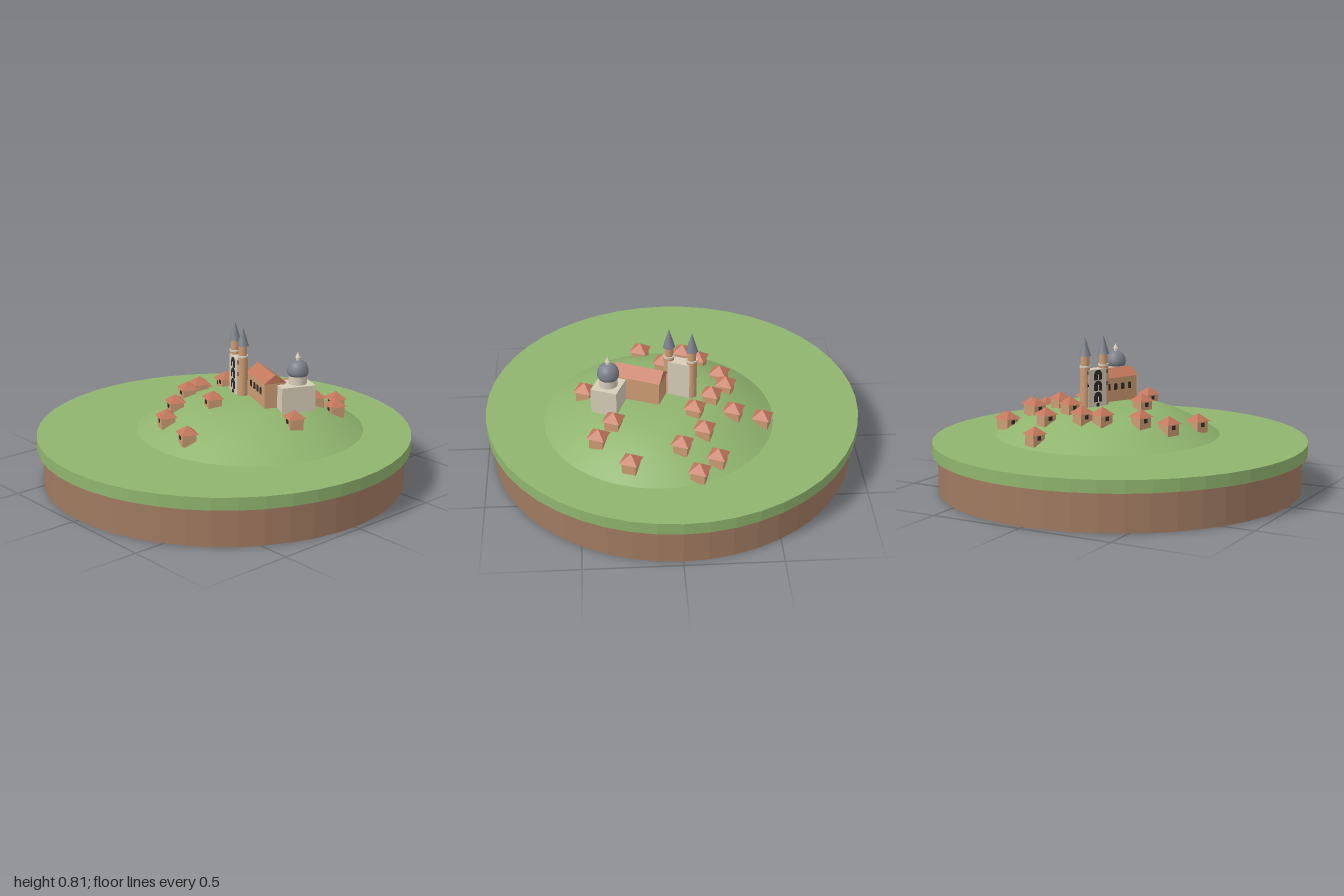
import * as THREE from 'three';

const mat = (name, color) => Object.assign(new THREE.MeshStandardMaterial({ color }), { name });

// Hill cross-section: radius, height
const HILL = [[0.613, 0.262], [0.54, 0.306], [0.47, 0.345], [0.38, 0.388], [0.29, 0.418], [0.2, 0.429], [0.1, 0.431], [0.001, 0.432]];
const HILL_X = 0.078, HILL_Z = -0.117, TURN = -0.39;

function hillHeight(x, z) {
  const r = Math.hypot(x - HILL_X, z - HILL_Z);
  for (let i = 1; i < HILL.length; i++) {
    const [r0, y0] = HILL[i - 1], [r1, y1] = HILL[i];
    if (r >= r1) return y0 + (y1 - y0) * Math.min(1, Math.max(0, (r0 - r) / (r0 - r1)));
  }
  return 0.432;
}

// Split shared vertices so every face is flat
function flat(geo) {
  const g = geo.toNonIndexed();
  g.computeVertexNormals();
  return g;
}

function add(parent, name, geo, material, x = 0, y = 0, z = 0) {
  const m = new THREE.Mesh(geo, material);
  m.name = name;
  m.position.set(x, y, z);
  parent.add(m);
  return m;
}

function group(parent, name, x, z, y = 0, turn = TURN) {
  const g = new THREE.Group();
  g.name = name;
  g.position.set(x, y, z);
  g.rotation.y = turn;
  parent.add(g);
  return g;
}

// Thin round-headed opening, standing on its base line
function archGeo(w, h) {
  const s = new THREE.Shape();
  s.moveTo(-w / 2, 0);
  s.lineTo(w / 2, 0);
  s.lineTo(w / 2, h - w / 2);
  s.absarc(0, h - w / 2, w / 2, 0, Math.PI, false);
  s.closePath();
  return new THREE.ExtrudeGeometry(s, { depth: 0.005, bevelEnabled: false, curveSegments: 8 });
}

export function createModel() {
  const root = new THREE.Group();
  root.name = 'hillTown';
  const grass = mat('grass', 0x8fb46e);
  const earth = mat('earth', 0xa07a60);
  const wall = mat('tanWall', 0xcc9c72);
  const tile = mat('roofTile', 0xc2775c);
  const stone = mat('paleStone', 0xd6ccb8);
  const slate = mat('slate', 0x7c808a);
  const dark = mat('darkOpening', 0x2f2b2a);

  // Round base and hill
  add(root, 'earthBase', flat(new THREE.CylinderGeometry(0.97, 0.97, 0.2, 48)), earth, 0, 0.1, 0);
  add(root, 'grassDisc', flat(new THREE.CylinderGeometry(1, 1, 0.065, 48)), grass, 0, 0.2325, 0);
  add(root, 'hill', new THREE.LatheGeometry(HILL.map(([r, y]) => new THREE.Vector2(r, y)), 48), grass, HILL_X, 0, HILL_Z);

  // Houses
  const bodyGeo = new THREE.BoxGeometry(0.074, 0.066, 0.074);
  const roofGeo = flat(new THREE.ConeGeometry(0.067, 0.04, 4).rotateY(Math.PI / 4));
  const houseWindow = new THREE.BoxGeometry(0.02, 0.022, 0.006);
  const spots = [
    [-0.1, -0.663], [-0.2, -0.577], [-0.02, -0.535], [-0.14, -0.44], [0.24, -0.61], [0.4, -0.44],
    [0.32, -0.365], [-0.1, -0.31], [-0.305, -0.275], [-0.46, -0.247], [-0.195, -0.193], [-0.28, -0.07],
    [-0.257, 0.037], [0.465, -0.07], [0.04, 0.112], [-0.155, 0.208], [-0.08, 0.332], [0.155, 0.387]];
  for (const [x, z] of spots) {
    const house = group(root, 'house', x, z, hillHeight(x, z));
    add(house, 'houseWalls', bodyGeo, wall, 0, 0.013, 0);
    add(house, 'houseRoof', roofGeo, tile, 0, 0.062, 0);
    add(house, 'houseWindow', houseWindow, dark, 0, 0.024, 0.038);
  }

  // Nave with gable roof and side windows
  const nave = group(root, 'nave', 0.176, -0.144);
  add(nave, 'naveWalls', new THREE.BoxGeometry(0.25, 0.155, 0.115), wall, 0, 0.4875, 0);
  const gable = new THREE.Shape([[-0.063, 0], [0.063, 0], [0, 0.046]].map(([x, y]) => new THREE.Vector2(x, y)));
  const gableGeo = new THREE.ExtrudeGeometry(gable, { depth: 0.262, bevelEnabled: false });
  gableGeo.translate(0, 0, -0.131).rotateY(Math.PI / 2);
  add(nave, 'naveRoof', gableGeo, tile, 0, 0.562, 0);
  for (let i = 0; i < 4; i++) {
    add(nave, 'naveWindow', archGeo(0.02, 0.036), dark, (i - 1.5) * 0.048, 0.495, 0.0565);
  }

  // Front wall with stacked arches between twin towers
  const front = group(root, 'westFront', -0.035, -0.138);
  add(front, 'facade', new THREE.BoxGeometry(0.12, 0.215, 0.062), stone, 0, 0.5225, 0);
  for (const y of [0.455, 0.515, 0.573]) {
    add(front, 'facadeArch', archGeo(0.05, 0.054), dark, 0, y, 0.03);
    add(front, 'archColumn', new THREE.BoxGeometry(0.005, 0.03, 0.004), stone, 0, y + 0.015, 0.0355);
  }
  add(front, 'facadeDoor', archGeo(0.018, 0.03), dark, 0, 0.42, 0.03);

  for (const side of [-1, 1]) {
    const tower = group(front, 'tower', side * 0.062, 0, 0, 0);
    add(tower, 'towerShaft', new THREE.CylinderGeometry(0.027, 0.027, 0.235, 20), wall, 0, 0.5275, 0);
    add(tower, 'towerBand', new THREE.CylinderGeometry(0.029, 0.029, 0.01, 20), stone, 0, 0.648, 0);
    add(tower, 'towerTop', new THREE.CylinderGeometry(0.023, 0.023, 0.06, 20), wall, 0, 0.678, 0);
    add(tower, 'towerSpire', new THREE.ConeGeometry(0.032, 0.105, 20), slate, 0, 0.758, 0);
    for (const y of [0.55, 0.615]) {
      add(tower, 'towerWindow', new THREE.BoxGeometry(0.01, 0.02, 0.006), dark, 0, y, 0.0265);
    }
  }

  // Domed hall
  const hall = group(root, 'domedHall', 0.332, -0.195);
  add(hall, 'hallWalls', new THREE.BoxGeometry(0.14, 0.14, 0.187), stone, 0, 0.481, 0);
  const dome = group(hall, 'dome', 0, -0.02, 0, 0);
  add(dome, 'domeDrum', new THREE.CylinderGeometry(0.048, 0.048, 0.07, 28), stone, 0, 0.58, 0);
  const curve = [[0.001, 0.592], [0.05, 0.595], [0.056, 0.607], [0.057, 0.62], [0.053, 0.64], [0.044, 0.657], [0.03, 0.669], [0.015, 0.675], [0.001, 0.677]];
  add(dome, 'domeShell', new THREE.LatheGeometry(curve.map(([r, y]) => new THREE.Vector2(r, y)), 28), slate);
  add(dome, 'lantern', new THREE.CylinderGeometry(0.011, 0.011, 0.022, 12), stone, 0, 0.682, 0);
  add(dome, 'lanternCap', new THREE.ConeGeometry(0.015, 0.03, 12), stone, 0, 0.706, 0);

  return root;
}
